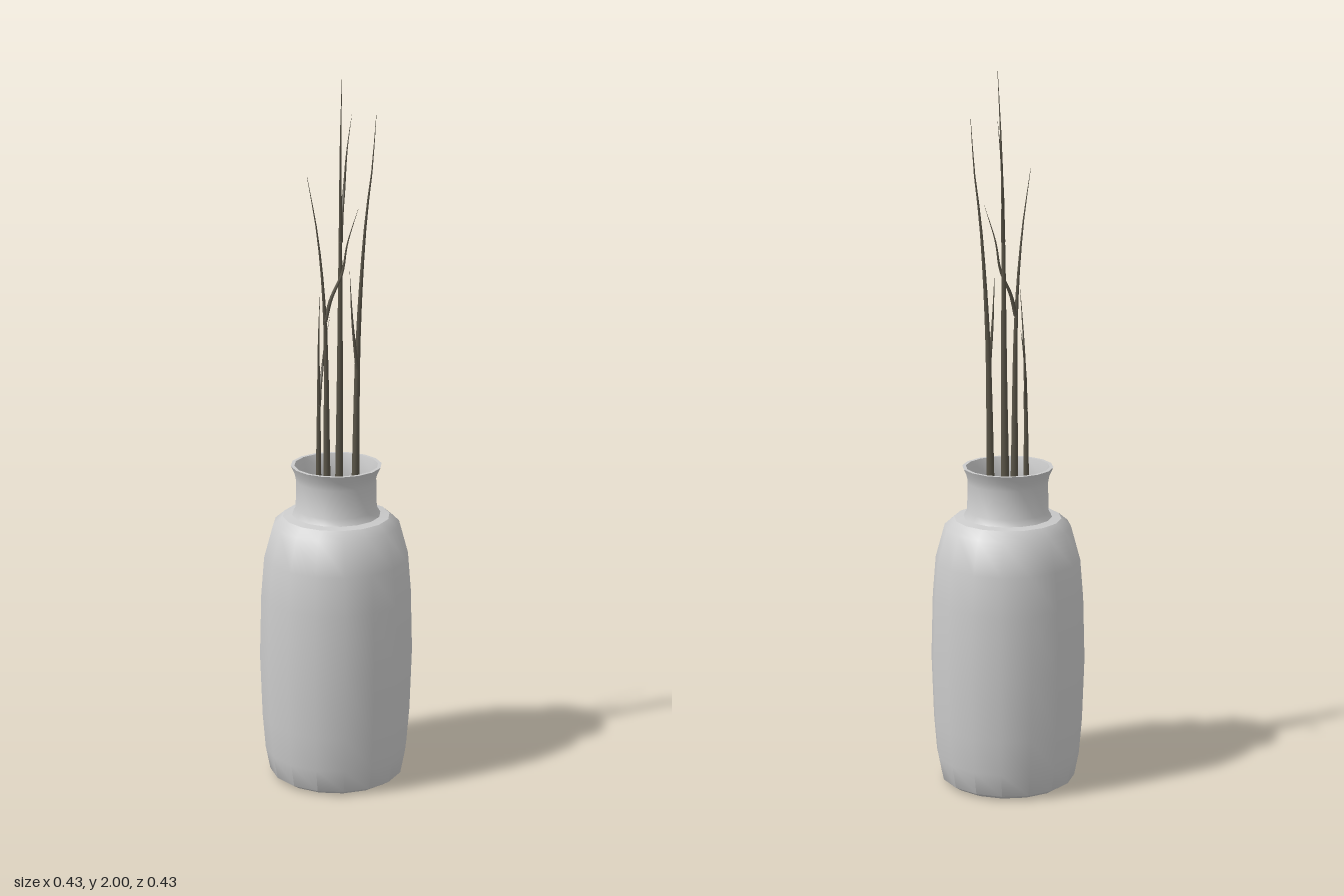
import * as THREE from 'three';
import { toCreasedNormals } from 'three/addons/utils/BufferGeometryUtils.js';

const ceramic = new THREE.MeshStandardMaterial({ color: 0xcccccc });
const bark = new THREE.MeshStandardMaterial({ color: 0x5a5548 });

// Sixteen-sided turned part from [radius, height] pairs
function turned(name, profile, crease = 0.8) {
  const points = profile.map(([r, y]) => new THREE.Vector2(r, y));
  const mesh = new THREE.Mesh(toCreasedNormals(new THREE.LatheGeometry(points, 16), crease), ceramic);
  mesh.name = name;
  return mesh;
}

// Tube along a smooth path, tapering from the base radius to a point
function tapered(name, path, radius) {
  const curve = new THREE.CatmullRomCurve3(path.map((p) => new THREE.Vector3(...p)));
  const rings = 24, sides = 8;
  const geo = new THREE.TubeGeometry(curve, rings, radius, sides);
  const pos = geo.attributes.position, v = new THREE.Vector3();
  for (let i = 0; i <= rings; i++) {
    const centre = curve.getPointAt(i / rings);
    const scale = 1 - 0.98 * (i / rings);
    for (let j = 0; j <= sides; j++) {
      const k = i * (sides + 1) + j;
      v.fromBufferAttribute(pos, k).sub(centre).multiplyScalar(scale).add(centre);
      pos.setXYZ(k, v.x, v.y, v.z);
    }
  }
  const mesh = new THREE.Mesh(geo, bark);
  mesh.name = name;
  return mesh;
}

function twig(name, stem, branch, branchRadius) {
  const group = new THREE.Group();
  group.name = name;
  group.add(tapered('stem', stem, 0.02), tapered('branch', branch, branchRadius));
  return group;
}

// Tall forked twig; the same shape is reused at another place and height
function forkedTwig(name, x, s) {
  const at = (dx, y, z) => [x + dx, y * s, z];
  return twig(name,
    [[x - 0.02, 0.03, -0.04], at(-0.008, 0.6, -0.015), at(0, 1.1, 0), at(0.003, 1.58, 0.005),
      at(0.012, 1.82, 0.035), at(0.023, 2, 0.06)],
    [at(0.003, 1.54, 0.003), at(0.002, 1.62, -0.015), at(0, 1.68, -0.042), at(0.004, 1.78, -0.055),
      at(0.01, 1.88, -0.085)], 0.006);
}

export function createModel() {
  const model = new THREE.Group();
  model.name = 'vaseWithTwigs';

  const vase = new THREE.Group();
  vase.name = 'vase';
  vase.add(
    // Underside with its drain hole, and the rounded body
    turned('body', [[0.03, 0.005], [0.17, 0], [0.19, 0.013], [0.203, 0.08], [0.211, 0.18], [0.217, 0.36],
      [0.212, 0.54], [0.203, 0.65], [0.177, 0.745], [0.15, 0.768]]),
    turned('neck', [[0.15, 0.768], [0.124, 0.772], [0.114, 0.79], [0.112, 0.87], [0.116, 0.89], [0.127, 0.914]]),
    turned('rim', [[0.127, 0.914], [0.117, 0.914]]),
    turned('innerWall', [[0.117, 0.914], [0.108, 0.88], [0.108, 0.79], [0.14, 0.755], [0.19, 0.66],
      [0.207, 0.36], [0.19, 0.08], [0.18, 0.03]]),
    turned('innerFloor', [[0.18, 0.03], [0, 0.03]]),
  );

  const twigs = new THREE.Group();
  twigs.name = 'twigs';
  twigs.add(
    forkedTwig('tallTwig', 0.01, 1),
    forkedTwig('shortTwig', -0.052, 0.7),
    // Front twig with a long curving side branch
    twig('frontTwig',
      [[-0.012, 0.03, 0.038], [-0.015, 0.92, 0.042], [-0.02, 1.35, 0.045], [-0.035, 1.57, 0.062], [-0.055, 1.73, 0.09]],
      [[-0.018, 1.33, 0.045], [-0.005, 1.39, 0.035], [0.022, 1.46, 0.02], [0.035, 1.54, 0.014], [0.065, 1.64, 0.008]], 0.006),
    // Side twig leaning outward
    twig('sideTwig',
      [[0.04, 0.03, -0.032], [0.045, 0.92, -0.04], [0.052, 1.3, -0.042], [0.07, 1.6, -0.048], [0.085, 1.73, -0.052],
        [0.094, 1.88, -0.062]],
      [[0.05, 1.17, -0.041], [0.046, 1.23, -0.03], [0.04, 1.32, -0.02], [0.035, 1.46, -0.01]], 0.006),
  );

  model.add(vase, twigs);
  return model;
}
